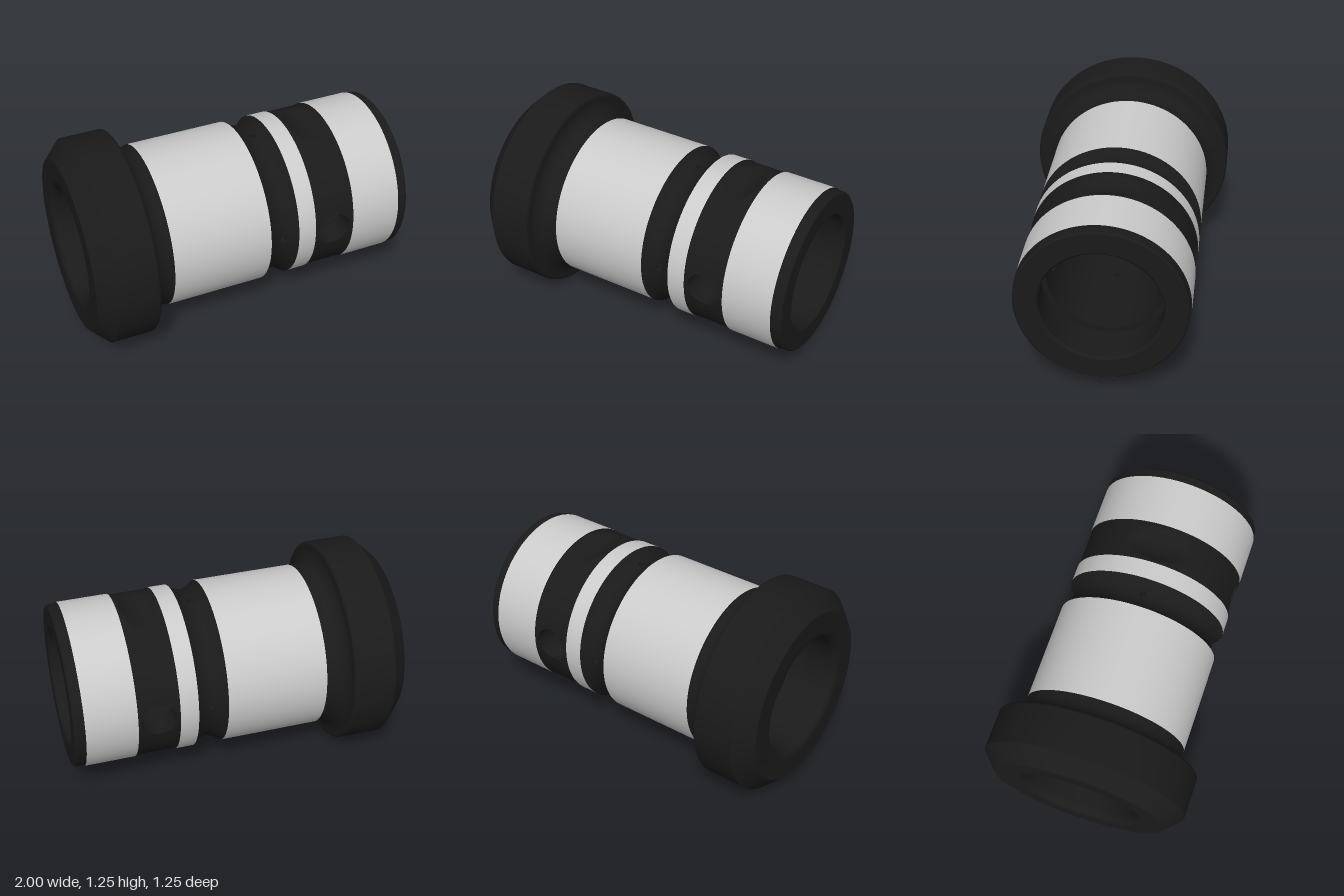
import * as THREE from 'three';
import { mergeGeometries, toCreasedNormals } from 'three/addons/utils/BufferGeometryUtils.js';

const SEG = 128, SIDE = SEG / 4, RINGS = 14;
const BODY = 0.497, BORE = 0.348, FLANGE = 0.623;

const dark = new THREE.MeshStandardMaterial({ color: 0x1a1a1a });
const grey = new THREE.MeshStandardMaterial({ color: 0xcccccc });

function named(name, geometry, material) {
  const mesh = new THREE.Mesh(toCreasedNormals(geometry, 0.5), material);
  mesh.name = name;
  return mesh;
}

// Turned surface about the x axis from [x, radius] points; rising x faces outward
function turned(name, points, material) {
  const profile = points.map(([x, r]) => new THREE.Vector2(r, x));
  const geo = new THREE.LatheGeometry(profile, SEG).rotateZ(-Math.PI / 2);
  geo.deleteAttribute('uv');
  return named(name, geo, material);
}

// Points along a circular arc in the [x, radius] plane
function arc(cx, cr, rad, from, to, n = 8) {
  return Array.from({ length: n + 1 }, (_, i) => {
    const a = (from + (to - from) * i / n) * Math.PI / 180;
    return [cx + rad * Math.cos(a), cr + rad * Math.sin(a)];
  });
}

// Quarter of a wall ring with a round hole: bore side, hole wall, then outer side
function drilledQuarter(x0, x1, hx, r, centre, outerPoint) {
  const borePoint = (x, t) => [x, BORE * Math.sin(t), BORE * Math.cos(t)];
  const pos = [], index = [];
  const row = (f, radius, point) => {
    for (let k = 0; k < SEG; k++) {
      const t = (k % SIDE) / SIDE * 2 - 1;
      const [u, v] = [[1, t], [-t, 1], [-1, -t], [t, -1]][Math.floor(k / SIDE)];
      const a = Math.atan2(v, u);
      const edgeX = (x0 + x1) / 2 + u * (x1 - x0) / 2;
      const x = THREE.MathUtils.lerp(hx + r * Math.cos(a), edgeX, f);
      const th = THREE.MathUtils.lerp(Math.asin(r * Math.sin(a) / radius), v * Math.PI / 4, f);
      pos.push(...point(x, centre + th));
    }
  };
  for (let i = RINGS; i >= 0; i--) row(i / RINGS, BORE, borePoint);
  for (let i = 0; i <= RINGS; i++) row(i / RINGS, BODY, outerPoint);
  for (let i = 0; i < 2 * RINGS + 1; i++) {
    if (r === 0 && i === RINGS) continue;
    for (let k = 0; k < SEG; k++) {
      const k2 = (k + 1) % SEG;
      const a = i * SEG + k, b = a + SEG, c = (i + 1) * SEG + k2, d = i * SEG + k2;
      index.push(a, b, c, a, c, d);
    }
  }
  const geo = new THREE.BufferGeometry();
  geo.setAttribute('position', new THREE.Float32BufferAttribute(pos, 3));
  geo.setIndex(index);
  return geo;
}

function drilledRing(name, x0, x1, hx, radii, outerPoint) {
  const parts = radii.map((r, q) => drilledQuarter(x0, x1, hx, r, q * Math.PI / 2, outerPoint));
  return named(name, mergeGeometries(parts), dark);
}

// Rounded oil groove with four small holes
function oilGroovePoint(x, t) {
  const s = (x - 0.18) / 0.09;
  const r = BODY - 0.043 * (1 - s * s);
  return [x, r * Math.sin(t), r * Math.cos(t)];
}

// Shallow band scalloped across its top and bottom
function portBandPoint(x, t) {
  const s = (x - 0.505) / 0.105;
  const limit = 0.453 + 0.037 * s * s;
  const r = 0.491;
  return [x, THREE.MathUtils.clamp(r * Math.sin(t), -limit, limit), r * Math.cos(t)];
}

export function createModel() {
  const model = new THREE.Group();
  model.name = 'flangedBushing';
  const sleeve = new THREE.Group();
  sleeve.name = 'sleeve';
  sleeve.position.y = FLANGE;
  model.add(sleeve);

  // Flange with chamfered face, rounded rear edge and fillet into the sleeve
  sleeve.add(turned('flange', [
    [-0.95, BORE], ...arc(-0.95, BORE + 0.05, 0.05, 270, 180, 6),
    [-1, 0.523], [-0.9, FLANGE],
    ...arc(-0.665, FLANGE - 0.02, 0.02, 90, 0, 5),
    ...arc(-0.55, 0.585, 0.095, 180, 270, 10),
    [-0.518, 0.49], [-0.518, BODY],
  ], dark));

  // Ground bearing surfaces
  [['longBearingSurface', -0.518, 0.09], ['narrowBearingSurface', 0.27, 0.38],
    ['endBearingSurface', 0.63, 0.937]].forEach(([name, a, b]) =>
    sleeve.add(turned(name, [[a, BODY], [b, BODY]], grey)));

  // Drilled grooves
  sleeve.add(drilledRing('oilGroove', 0.09, 0.27, 0.185, [0.02, 0.02, 0.02, 0.02], oilGroovePoint));
  sleeve.add(drilledRing('portBand', 0.38, 0.63, 0.505, [0.105, 0, 0.105, 0], portBandPoint));
  [[0.38, 0.491, BODY], [0.63, 0.491, BODY]].forEach(([x, lo, hi], i) =>
    sleeve.add(turned('portBandShoulder', i ? [[x, lo], [x, hi]] : [[x, hi], [x, lo]], dark)));

  // End rim with small chamfers
  sleeve.add(turned('endRim', [
    [0.937, BODY], [0.937, 0.49], [0.99, 0.49], [1, 0.48], [1, BORE + 0.012], [0.988, BORE],
  ], dark));

  // Bore with a seal groove near each end
  const seal = (a, b) => [[b, BORE], [b, 0.378], [a, 0.378], [a, BORE]];
  sleeve.add(turned('rearBore', [[0.988, BORE], ...seal(0.72, 0.84), [0.63, BORE]], dark));
  sleeve.add(turned('middleBore', [[0.38, BORE], [0.27, BORE]], dark));
  sleeve.add(turned('frontBore', [[0.09, BORE], ...seal(-0.8, -0.68), [-0.95, BORE]], dark));

  return model;
}
